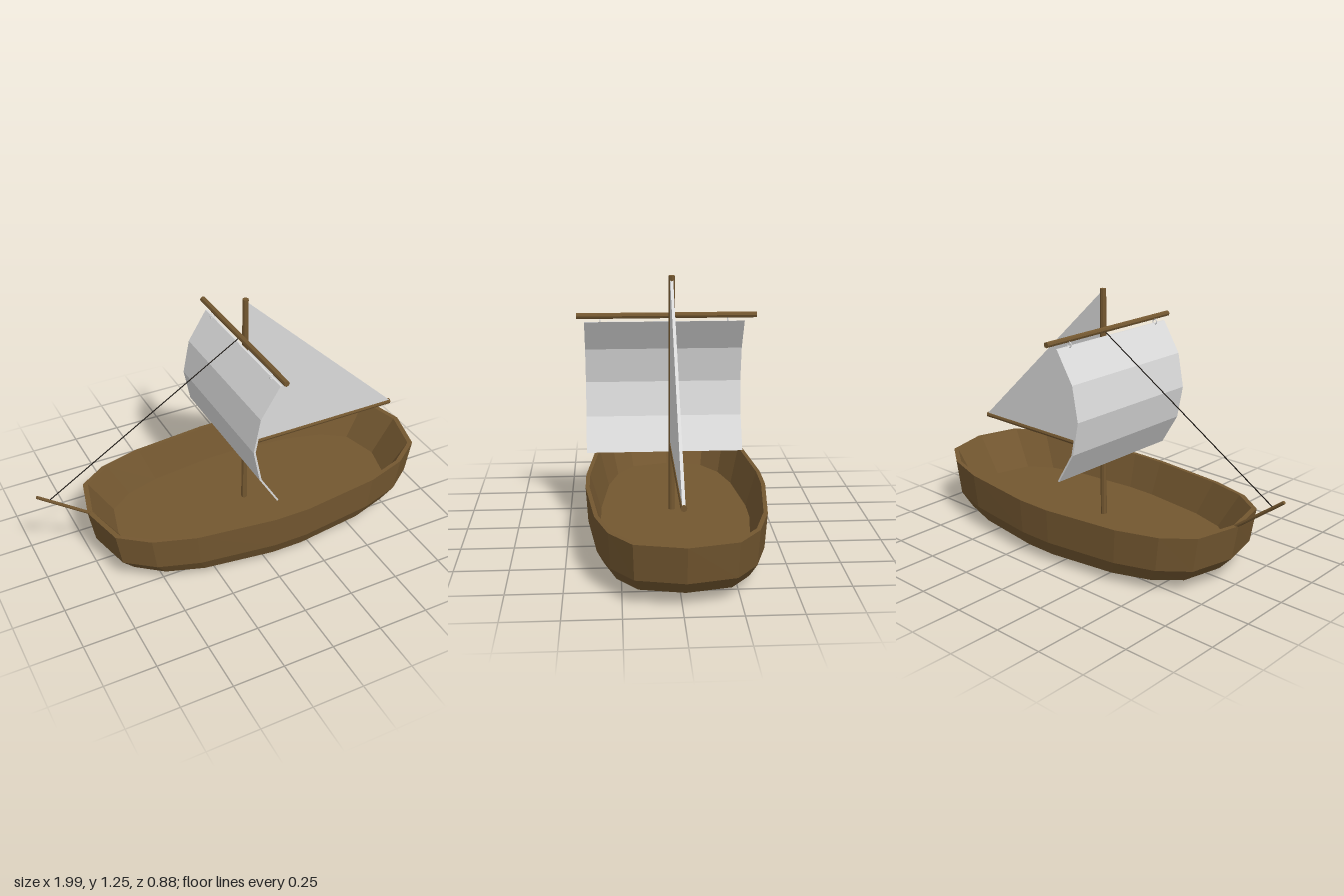
import * as THREE from 'three';

const wood = new THREE.MeshStandardMaterial({ color: 0x735730, flatShading: true });
wood.name = 'wood';
const canvas = new THREE.MeshStandardMaterial({ color: 0xdadada, flatShading: true });
canvas.name = 'canvas';
const cord = new THREE.MeshStandardMaterial({ color: 0x1a1612 });
cord.name = 'cord';

const MID_Z = -0.015;

function add(parent, name, geometry, material) {
  const mesh = new THREE.Mesh(geometry, material);
  mesh.name = name;
  parent.add(mesh);
  return mesh;
}

// Straight round pole between two points
function pole(parent, name, from, to, radius, material = wood, sides = 8) {
  const a = new THREE.Vector3(...from), b = new THREE.Vector3(...to);
  const dir = b.clone().sub(a);
  const mesh = add(parent, name, new THREE.CylinderGeometry(radius, radius, dir.length(), sides), material);
  mesh.position.copy(a).add(b).multiplyScalar(0.5);
  mesh.quaternion.setFromUnitVectors(new THREE.Vector3(0, 1, 0), dir.normalize());
  return mesh;
}

// Pointed oval outline, mirrored from one quarter, running from +x towards +z
function hullOutline() {
  const quarter = [[0.88, 0], [0.825, 0.22], [0.685, 0.32], [0.48, 0.38], [0.09, 0.425]];
  const half = [...quarter, ...quarter.slice().reverse().map(([x, z]) => [-x, z])];
  return [...half, ...half.slice(1, -1).reverse().map(([x, z]) => [x, -z])];
}

// Rings from under the keel, up the outside, over the rim and down to the floor
function hullGeometry() {
  const outline = hullOutline();
  // x scale, z scale, height amidships, height at the ends
  const levels = [
    [0, 0, 0, 0],
    [0.745, 0.73, 0.003, 0.02],
    [0.89, 0.895, 0.035, 0.06],
    [0.966, 0.977, 0.11, 0.13],
    [1, 1, 0.28, 0.30],
    [0.972, 0.955, 0.28, 0.30],
    [0.835, 0.835, 0.11, 0.115],
    [0, 0, 0.11, 0.11],
  ];
  const rings = levels.map(([sx, sz, mid, end]) => outline.map(([x, z]) => {
    const t = (x / 0.88) ** 2;
    return [0.115 + x * sx, mid + (end - mid) * t, MID_Z + z * sz];
  }));
  const positions = [];
  for (let j = 0; j < rings.length - 1; j++) {
    for (let i = 0; i < outline.length; i++) {
      const k = (i + 1) % outline.length;
      const a = rings[j][i], b = rings[j + 1][i], c = rings[j + 1][k], d = rings[j][k];
      if (j < rings.length - 2) positions.push(...a, ...b, ...c);
      if (j > 0) positions.push(...a, ...c, ...d);
      // the keel cap and the floor close to a single centre point
    }
  }
  const geometry = new THREE.BufferGeometry();
  geometry.setAttribute('position', new THREE.Float32BufferAttribute(positions, 3));
  geometry.computeVertexNormals();
  return geometry;
}

// Flat shape in x and y, given a thickness along z
function slab(points, zMin, zMax) {
  const shape = new THREE.Shape(points.map(([x, y]) => new THREE.Vector2(x, y)));
  const geometry = new THREE.ExtrudeGeometry(shape, { depth: zMax - zMin, bevelEnabled: false });
  return geometry.translate(0, 0, zMin);
}

export function createModel() {
  const boat = new THREE.Group();
  boat.name = 'sailboat';

  add(boat, 'hull', hullGeometry(), wood);

  // Spars
  pole(boat, 'mast', [0.065, 0.1, -0.003], [0.065, 1.255, -0.003], 0.015);
  pole(boat, 'boom', [0.065, 0.44, -0.003], [0.92, 0.44, -0.003], 0.014);
  pole(boat, 'yard', [0.038, 1.065, -0.405], [0.038, 1.065, 0.44], 0.014);
  pole(boat, 'bowsprit', [-0.735, 0.285, MID_Z], [-0.995, 0.483, MID_Z], 0.008);
  pole(boat, 'forestay', [-0.935, 0.447, MID_Z], [0.035, 1.05, MID_Z], 0.0025, cord, 6);

  // Triangular sail behind the mast
  add(boat, 'mainsail', slab([[0.07, 0.45], [0.915, 0.45], [0.07, 1.24]], -0.01, 0.004), canvas);

  // Billowing square sail: the curved profile is offset to give it thickness
  const profile = [[0.027, 1.035], [-0.067, 0.885], [-0.1, 0.715], [-0.067, 0.55], [0.027, 0.395]];
  const back = profile.map(([x, y]) => [x + 0.01, y]).reverse();
  add(boat, 'squareSail', slab([...profile, ...back], -0.35, 0.405), canvas);

  // Rings tying the square sail to the yard
  for (const z of [0.33, -0.27]) {
    const ring = add(boat, 'sailRing', new THREE.TorusGeometry(0.012, 0.003, 6, 14), canvas);
    ring.position.set(0.026, 1.043, z);
  }

  return boat;
}
